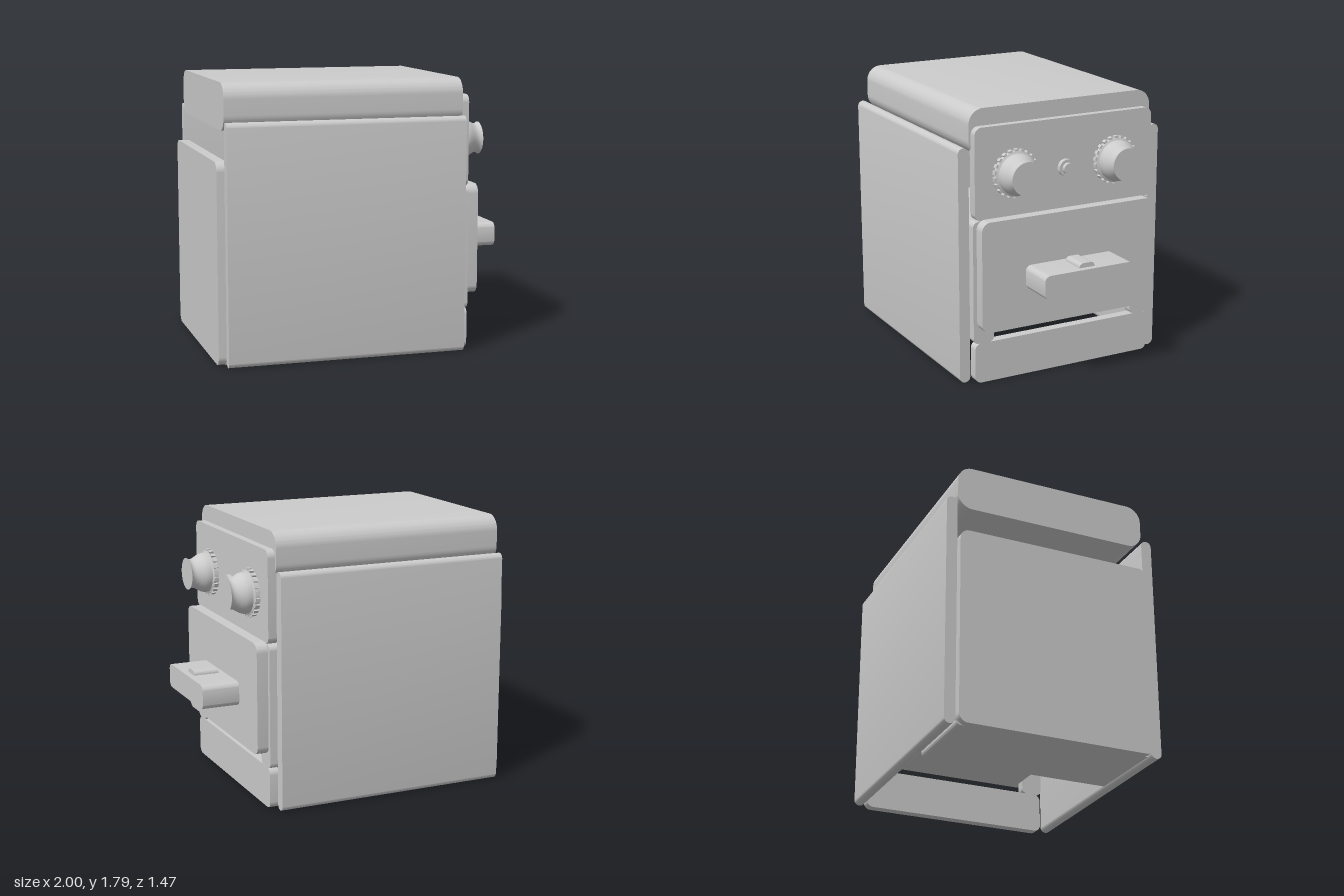
import * as THREE from 'three';
import { toCreasedNormals } from 'three/addons/utils/BufferGeometryUtils.js';

export function createModel() {
  const model = new THREE.Group();
  const material = new THREE.MeshStandardMaterial({ color: 0xcccccc });

  function add(name, geometry, parent = model) {
    const mesh = new THREE.Mesh(geometry, material);
    mesh.name = name;
    parent.add(mesh);
    return mesh;
  }

  // Rounded rectangle in the z-y plane, extruded along x from x0 to x1
  function slab(name, x0, x1, y0, y1, halfZ, r, z = 0) {
    const s = new THREE.Shape();
    s.moveTo(-halfZ + r, y0);
    s.lineTo(halfZ - r, y0);
    s.absarc(halfZ - r, y0 + r, r, -Math.PI / 2, 0);
    s.lineTo(halfZ, y1 - r);
    s.absarc(halfZ - r, y1 - r, r, 0, Math.PI / 2);
    s.lineTo(-halfZ + r, y1);
    s.absarc(-halfZ + r, y1 - r, r, Math.PI / 2, Math.PI);
    s.lineTo(-halfZ, y0 + r);
    s.absarc(-halfZ + r, y0 + r, r, Math.PI, Math.PI * 1.5);
    const g = new THREE.ExtrudeGeometry(s, { depth: x1 - x0, bevelEnabled: false, curveSegments: 10 });
    g.rotateY(Math.PI / 2).translate(x0, 0, z);
    return add(name, toCreasedNormals(g, 0.6));
  }

  // Turned part around the x axis; profile points are [radius, x]
  function turned(name, profile, parent) {
    const g = new THREE.LatheGeometry(profile.map(([r, x]) => new THREE.Vector2(r, x)), 40);
    g.rotateZ(-Math.PI / 2);
    return add(name, toCreasedNormals(g, 0.6), parent);
  }

  // Housing: top cover, side panels, folded back and base sheet
  slab('topCover', -0.95, 0.625, 1.49, 1.79, 0.66, 0.1);
  for (const side of [1, -1]) {
    slab('sidePanel', -0.95, 0.625, 0, 1.55, 0.0365, 0.036, side * 0.6985);
  }
  slab('backPanel', -1, -0.93, 0, 1.3, 0.66, 0.06);
  slab('rearBase', -0.95, -0.38, 0, 0.06, 0.65, 0.025);

  // Front plates
  slab('controlPanel', 0.61, 0.675, 1.08, 1.68, 0.645, 0.05);
  slab('lowerFrontPlate', 0.61, 0.675, 0, 0.27, 0.65, 0.045);
  for (const side of [1, -1]) {
    slab('frontPost', 0.61, 0.675, 0.27, 1.08, 0.073, 0.035, side * 0.587);
  }

  // Drawer with handle and release button
  slab('drawerBody', -0.45, 0.675, 0.33, 0.96, 0.5, 0.03);
  slab('drawerFront', 0.675, 0.75, 0.36, 1.09, 0.635, 0.06);
  slab('handle', 0.75, 1, 0.61, 0.77, 0.325, 0.04);
  slab('releaseButton', 0.79, 0.96, 0.74, 0.8, 0.055, 0.028);

  // Ribbed control knobs
  for (const side of [1, -1]) {
    const knob = new THREE.Group();
    knob.name = 'controlKnob';
    knob.position.set(0.675, 1.365, side * 0.365);
    model.add(knob);
    turned('knobBody', [[0, 0], [0.146, 0], [0.146, 0.03], [0.133, 0.036], [0.133, 0.06],
      [0.128, 0.08], [0.114, 0.105], [0.1, 0.13], [0.096, 0.148], [0.1, 0.162],
      [0.108, 0.172], [0, 0.172]], knob);
    const teeth = 22;
    for (let i = 0; i < teeth; i++) {
      const a = (i / teeth) * Math.PI * 2;
      const tooth = add('knobRib', new THREE.BoxGeometry(0.03, 0.022, 0.024), knob);
      tooth.position.set(0.015, Math.cos(a) * 0.147, Math.sin(a) * 0.147);
      tooth.rotation.x = a;
    }
  }

  // Small button between the knobs
  const button = turned('centreButton', [[0, 0], [0.056, 0], [0.056, 0.03], [0.036, 0.03],
    [0.036, 0.055], [0, 0.055]]);
  button.position.set(0.675, 1.357, 0);

  return model;
}
